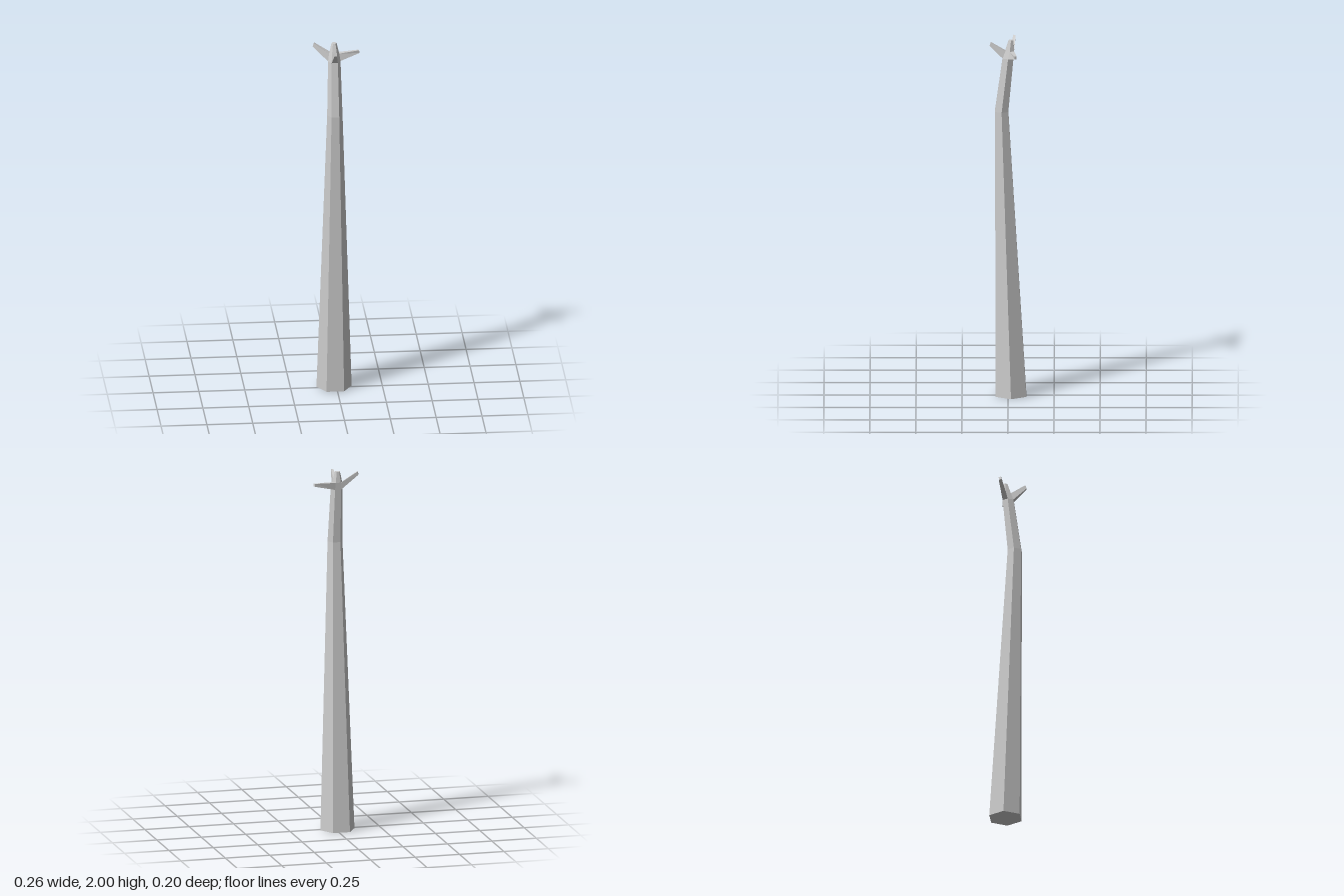
import * as THREE from 'three';

// Builds a flat-shaded mesh from convex polygons (corners counter-clockwise from outside)
function polyMesh(name, polygons, material) {
  const pos = [];
  for (const p of polygons)
    for (let i = 1; i < p.length - 1; i++) pos.push(...p[0], ...p[i], ...p[i + 1]);
  const geo = new THREE.BufferGeometry();
  geo.setAttribute('position', new THREE.Float32BufferAttribute(pos, 3));
  geo.computeVertexNormals();
  const mesh = new THREE.Mesh(geo, material);
  mesh.name = name;
  return mesh;
}

// Six-sided ring with corners on the x axis
function hexRing([y, z, r]) {
  return Array.from({ length: 6 }, (_, k) => {
    const a = (k * Math.PI) / 3;
    return [-0.012 + r * Math.cos(a), y, z + r * Math.sin(a)];
  });
}

export function createModel() {
  const group = new THREE.Group();
  group.name = 'deadTree';
  const bark = new THREE.MeshStandardMaterial({ color: 0xcccccc, flatShading: true });
  bark.name = 'greyBark';

  // Ring heights, z centres and radii from the foot to the top stub
  const rings = [
    [0, -0.016, 0.096], [1.6, 0.035, 0.042], [1.9, 0, 0.034],
    [1.94, -0.009, 0.028], [2, -0.016, 0.014],
  ].map(hexRing);

  const side = (level, k) => {
    const a = rings[level], b = rings[level + 1], n = (k + 1) % 6;
    return [a[k], b[k], b[n], a[n]];
  };

  // Branches grow out of three sides of the collar; tips follow the corner order of the side
  const collar = 2;
  const branches = [
    { name: 'frontBranch', k: 1, tip: [[-0.006, 1.967, 0.1], [-0.007, 1.988, 0.094], [-0.018, 1.988, 0.094], [-0.019, 1.967, 0.1]] },
    { name: 'rightBranch', k: 3, tip: [[-0.128, 1.98, -0.025], [-0.122, 1.999, -0.028], [-0.117, 1.997, -0.041], [-0.122, 1.978, -0.04]] },
    { name: 'leftBranch', k: 5, tip: [[0.122, 1.929, -0.047], [0.122, 1.945, -0.047], [0.127, 1.945, -0.036], [0.128, 1.929, -0.036]] },
  ];

  // Trunk, left open where branches join
  const faces = [rings[0], [...rings[4]].reverse()];
  for (let level = 0; level < 4; level++)
    for (let k = 0; k < 6; k++)
      if (level !== collar || k % 2 === 0) faces.push(side(level, k));
  group.add(polyMesh('trunk', faces, bark));

  for (const { name, k, tip } of branches) {
    const base = side(collar, k);
    const polys = [tip];
    for (let i = 0; i < 4; i++) {
      const j = (i + 1) % 4;
      polys.push([base[i], base[j], tip[j], tip[i]]);
    }
    group.add(polyMesh(name, polys, bark));
  }
  return group;
}
